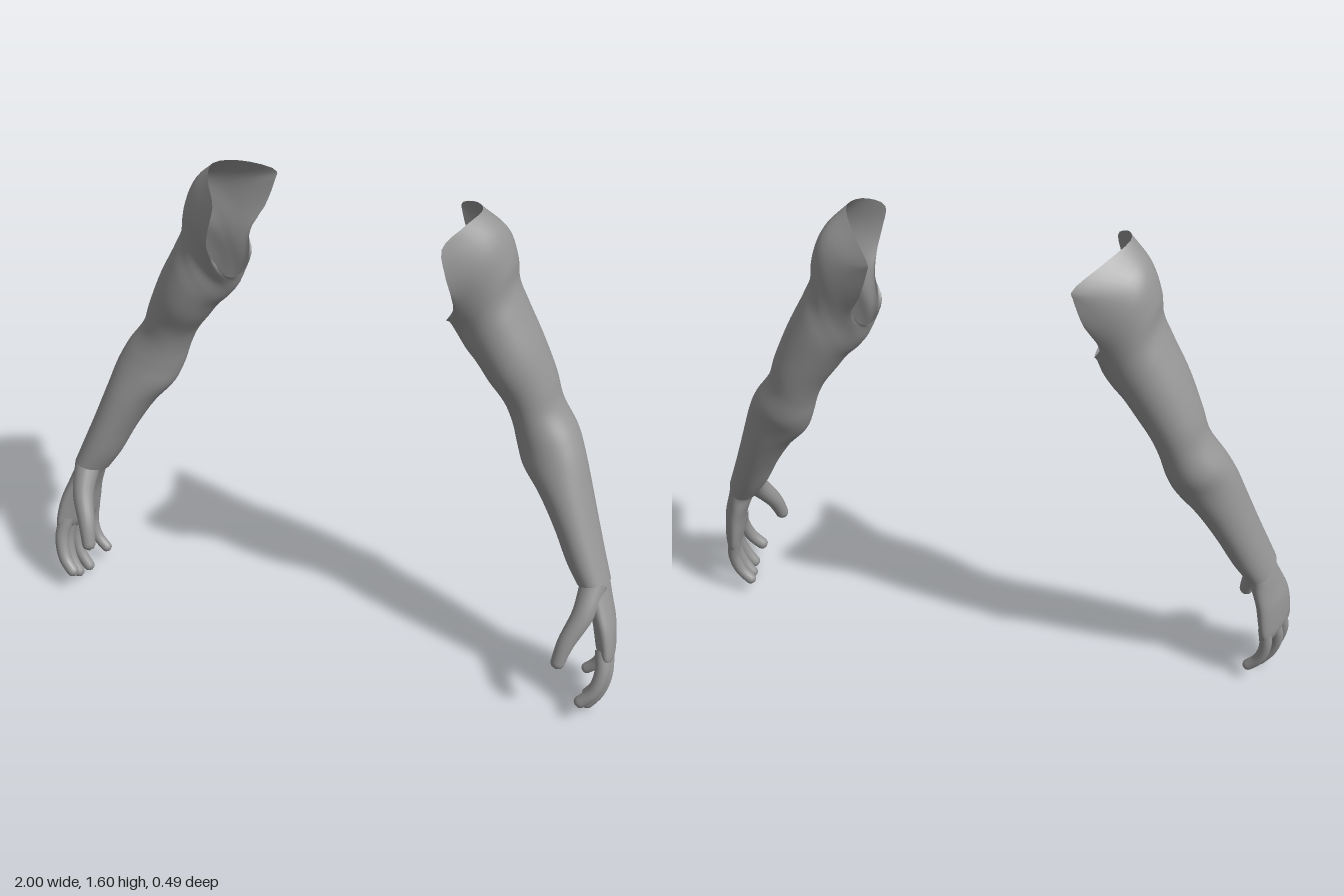
import * as THREE from 'three';

const V = (x, y, z) => new THREE.Vector3(x, y, z);
const AROUND = 48;
const GREY = 0x959595;

// Shoulder opening, running top -> front -> underarm -> back
const RIM = [
  [0.44, 1.605, -0.05], [0.415, 1.59, 0.04], [0.37, 1.54, 0.105], [0.385, 1.46, 0.115],
  [0.4, 1.385, 0.098], [0.393, 1.31, 0.052], [0.365, 1.26, 0.03], [0.355, 1.235, -0.07],
  [0.368, 1.262, -0.165], [0.388, 1.31, -0.19], [0.345, 1.4, -0.23], [0.315, 1.49, -0.243],
  [0.31, 1.515, -0.245], [0.385, 1.575, -0.16],
];

// Sections: outer x, outer y, inner x, inner y, front z, back z, forward tilt, outward twist
const SLEEVE = [
  [0.505, 1.54, 0.362, 1.215, 0.075, -0.212, 0, 0],
  [0.543, 1.45, 0.38, 1.175, 0.052, -0.2, 0, 0],
  [0.552, 1.375, 0.41, 1.135, 0.052, -0.198, 0, 0],
  [0.582, 1.305, 0.445, 1.1, 0.056, -0.2, 0, 0],
  [0.64, 1.19, 0.485, 1.045, 0.052, -0.195, 0, 0],
  [0.69, 1.07, 0.535, 0.975, 0.032, -0.187, 0, 0],
  [0.717, 0.99, 0.565, 0.91, 0.028, -0.177, 0, 0],
  [0.775, 0.905, 0.588, 0.835, 0.04, -0.168, 0.005, 0],
  [0.807, 0.84, 0.614, 0.775, 0.055, -0.143, 0.008, 0],
  [0.842, 0.74, 0.678, 0.7, 0.078, -0.118, 0.012, 0],
  [0.88, 0.63, 0.745, 0.595, 0.1, -0.085, 0.016, 0],
  [0.917, 0.53, 0.8, 0.49, 0.118, -0.05, 0.02, 0],
  [0.945, 0.455, 0.842, 0.428, 0.128, -0.024, 0.023, 0],
];

const PALM = [
  [0.906, 0.51, 0.825, 0.485, 0.105, -0.038, 0.02, 0],
  [0.929, 0.478, 0.837, 0.452, 0.116, -0.026, 0.02, 0],
  [0.944, 0.437, 0.857, 0.42, 0.122, -0.022, 0.018, 0],
  [0.961, 0.38, 0.878, 0.375, 0.138, -0.026, 0.01, 0.012],
  [0.979, 0.32, 0.9, 0.32, 0.158, -0.028, 0.005, 0.02],
  [0.987, 0.26, 0.914, 0.26, 0.17, -0.027, 0.01, 0.023],
  [0.989, 0.215, 0.925, 0.215, 0.174, -0.022, 0.012, 0.023],
  [0.98, 0.188, 0.938, 0.188, 0.158, -0.01, 0.012, 0.02],
];

// Finger paths from knuckle to tip, with base and tip radius
const FINGERS = {
  thumb: [[[0.9, 0.45, 0.075], [0.889, 0.37, 0.14], [0.853, 0.28, 0.195], [0.834, 0.196, 0.225]], 0.044, 0.021],
  indexFinger: [[[0.962, 0.25, 0.142], [0.972, 0.18, 0.171], [0.953, 0.11, 0.194], [0.905, 0.057, 0.21]], 0.025, 0.02],
  middleFinger: [[[0.963, 0.24, 0.102], [0.976, 0.15, 0.127], [0.959, 0.075, 0.143], [0.918, 0.012, 0.152]], 0.025, 0.02],
  ringFinger: [[[0.952, 0.23, 0.055], [0.967, 0.14, 0.08], [0.95, 0.07, 0.093], [0.906, 0.005, 0.098]], 0.024, 0.019],
  littleFinger: [[[0.933, 0.23, 0.002], [0.94, 0.15, 0.007], [0.921, 0.09, 0.012], [0.875, 0.042, 0.016]], 0.022, 0.018],
};

// Ring of points around one section
function sectionRing([ox, oy, ix, iy, zf, zb, tilt, twist]) {
  return Array.from({ length: AROUND }, (_, j) => {
    const a = (j / AROUND) * Math.PI * 2, c = Math.cos(a) / 2, s = Math.sin(a) / 2;
    return V(
      (ox + ix) / 2 + (ox - ix) * c + 2 * twist * s,
      (oy + iy) / 2 + (oy - iy) * c + 2 * tilt * s,
      (zf + zb) / 2 + (zf - zb) * s,
    );
  });
}

// Smooth the rings lengthwise with a curve through each column
function smoothRings(rings, steps) {
  const columns = rings[0].map((_, j) => new THREE.CatmullRomCurve3(rings.map((r) => r[j])));
  return Array.from({ length: steps + 1 }, (_, i) => columns.map((c) => c.getPoint(i / steps)));
}

// Skin consecutive rings; side = -1 makes the mirrored copy
function skin(rings, side, capEnd) {
  const n = rings[0].length, pos = [], idx = [];
  const tri = (a, b, c) => (side > 0 ? idx.push(a, b, c) : idx.push(a, c, b));
  rings.forEach((r) => r.forEach((p) => pos.push(p.x * side, p.y, p.z)));
  for (let i = 0; i < rings.length - 1; i++) {
    for (let j = 0; j < n; j++) {
      const k = (j + 1) % n, a = i * n, b = a + n;
      tri(a + j, a + k, b + j);
      tri(a + k, b + k, b + j);
    }
  }
  if (capEnd) {
    const last = rings.at(-1), base = (rings.length - 1) * n;
    const mid = last.reduce((s, p) => s.add(p), V(0, 0, 0)).divideScalar(n);
    pos.push(mid.x * side, mid.y, mid.z);
    for (let j = 0; j < n; j++) tri(base + j, base + ((j + 1) % n), base + n);
  }
  const g = new THREE.BufferGeometry();
  g.setAttribute('position', new THREE.Float32BufferAttribute(pos, 3));
  g.setIndex(idx);
  g.computeVertexNormals();
  return g;
}

// Tapered round tube with a domed tip
function fingerRings([path, r0, r1]) {
  const curve = new THREE.CatmullRomCurve3(path.map((p) => V(...p)));
  const steps = 36, sides = 18, length = curve.getLength();
  const { normals, binormals } = curve.computeFrenetFrames(steps);
  return Array.from({ length: steps + 1 }, (_, i) => {
    const t = i / steps, fromTip = Math.min(1, ((1 - t) * length) / r1);
    const r = (r0 + (r1 - r0) * t) * Math.max(0.08, Math.sqrt(1 - (1 - fromTip) ** 2));
    const centre = curve.getPointAt(t);
    return Array.from({ length: sides }, (_, j) => {
      const a = (j / sides) * Math.PI * 2;
      return centre.clone().addScaledVector(normals[i], r * Math.cos(a)).addScaledVector(binormals[i], r * Math.sin(a));
    });
  });
}

function createArm(side) {
  const arm = new THREE.Group();
  arm.name = side > 0 ? 'leftArm' : 'rightArm';
  const cloth = new THREE.MeshStandardMaterial({ color: GREY, side: THREE.DoubleSide });
  const skinMaterial = new THREE.MeshStandardMaterial({ color: GREY });
  const add = (parent, name, geometry, material) => {
    const mesh = new THREE.Mesh(geometry, material);
    mesh.name = name;
    parent.add(mesh);
  };

  // Sleeve, open at shoulder and cuff
  const rimCurve = new THREE.CatmullRomCurve3(RIM.map((p) => V(...p)), true);
  const rim = Array.from({ length: AROUND }, (_, j) => rimCurve.getPoint(j / AROUND));
  add(arm, 'sleeve', skin(smoothRings([rim, ...SLEEVE.map(sectionRing)], 72), side, false), cloth);

  // Hand
  const hand = new THREE.Group();
  hand.name = 'hand';
  add(hand, 'palm', skin(smoothRings(PALM.map(sectionRing), 32), side, true), skinMaterial);
  for (const [name, spec] of Object.entries(FINGERS)) {
    add(hand, name, skin(fingerRings(spec), side, true), skinMaterial);
  }
  arm.add(hand);
  return arm;
}

export function createModel() {
  const model = new THREE.Group();
  model.name = 'arms';
  model.add(createArm(1), createArm(-1));
  return model;
}
